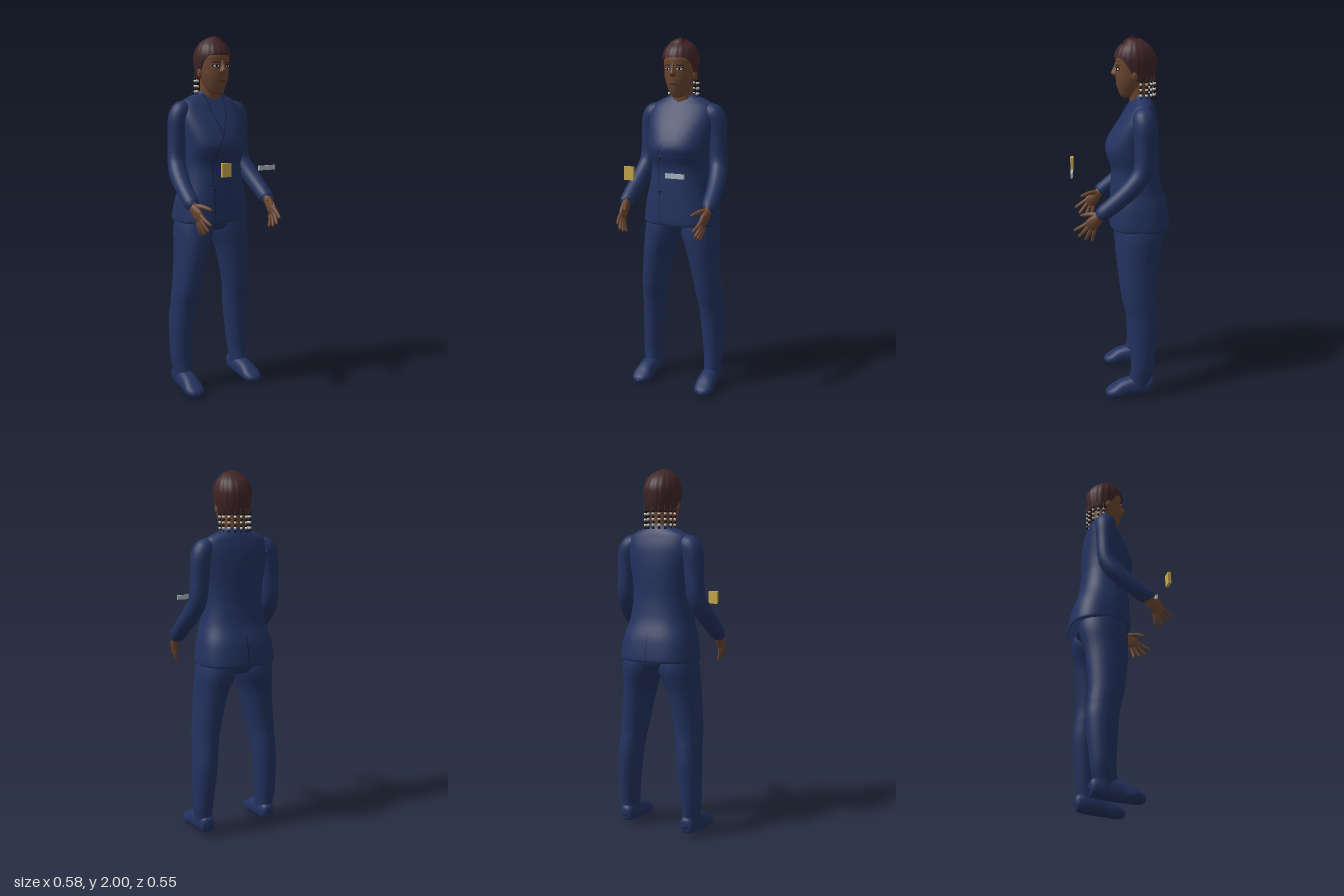
import * as THREE from 'three';
import { ParametricGeometry } from 'three/addons/geometries/ParametricGeometry.js';

const mat = (name, color) => new THREE.MeshStandardMaterial({ name, color });

// Smooth interpolation through rows of numbers, t from 0 to 1
function sample(rows, t) {
  const k = t * (rows.length - 1);
  const i = Math.min(Math.max(Math.floor(k), 0), rows.length - 2), f = k - i;
  const [p, a, b, q] = [rows[Math.max(i - 1, 0)], rows[i], rows[i + 1], rows[Math.min(i + 2, rows.length - 1)]];
  return a.map((_, j) => a[j] + 0.5 * f * (b[j] - p[j] + f * (2 * p[j] - 5 * a[j] + 4 * b[j] - q[j] + f * (3 * (a[j] - b[j]) + q[j] - p[j]))));
}

// Row of an upright loft at height y
function rowAt(rows, y) {
  let lo = 0, hi = 1;
  for (let i = 0; i < 30; i++) {
    const m = (lo + hi) / 2;
    if (sample(rows, m)[1] < y) lo = m; else hi = m;
  }
  return sample(rows, lo);
}

const power = (v, n) => Math.sign(v) * Math.abs(v) ** (2 / n);

// Capped loft; row = [x, y, z, halfWidth, halfDepth, squareness]. Bent lofts turn rings along their path.
function loft(rows, nu = 24, nv = 24, bent = false) {
  const X = new THREE.Vector3(1, 0, 0), T = new THREE.Vector3(), U = new THREE.Vector3(), V = new THREE.Vector3();
  return new ParametricGeometry((u, v, out) => {
    let t = (v * nv - 1) / (nv - 2), s = 1;
    if (v < 1 / nv - 1e-4) { t = 0; s = v * nv + 0.001; }
    if (v > 1 - 1 / nv + 1e-4) { t = 1; s = (1 - v) * nv + 0.001; }
    const r = sample(rows, t), ang = -2 * Math.PI * u;
    T.set(0, 1, 0);
    if (bent) {
      const a = sample(rows, t - 0.01), b = sample(rows, t + 0.01);
      T.set(b[0] - a[0], b[1] - a[1], b[2] - a[2]).normalize();
    }
    U.copy(X).addScaledVector(T, -T.x).normalize();
    V.crossVectors(U, T);
    out.set(r[0], r[1], r[2])
      .addScaledVector(U, s * r[3] * power(Math.cos(ang), r[5]))
      .addScaledVector(V, s * r[4] * power(Math.sin(ang), r[5]));
  }, nu, nv);
}

// Thin patch between two outlines [x, y], laid on the front (or back) of an upright loft
function drape(rows, left, right, off = 0.004, back = 1) {
  return new ParametricGeometry((u, v, out) => {
    const a = sample(left, 1 - v), b = sample(right, 1 - v);
    const x = a[0] + (b[0] - a[0]) * u, y = a[1] + (b[1] - a[1]) * u;
    const r = rowAt(rows, y), k = Math.min(Math.abs((x - r[0]) / r[3]), 0.999);
    out.set(x, y, r[2] + back * (r[4] * (1 - k ** r[5]) ** (1 / r[5]) + off));
  }, 6, 14);
}

// [y, halfWidth, front z, back z, squareness] to a loft row
const upright = ([y, w, f, b, n = 2]) => [0, y, (f + b) / 2, w, (f - b) / 2, n];

const torso = [
  [0.98, 0.21, 0.06, -0.268, 2.7], [1.0, 0.215, 0.065, -0.273, 2.7], [1.1, 0.205, 0.062, -0.257, 2.5],
  [1.2, 0.18, 0.058, -0.224, 2.3], [1.3, 0.165, 0.055, -0.208, 2.3], [1.37, 0.17, 0.078, -0.205, 2.3],
  [1.42, 0.176, 0.084, -0.205, 2.3], [1.5, 0.188, 0.05, -0.203, 2.3], [1.58, 0.195, 0, -0.195, 2.3],
  [1.64, 0.178, -0.04, -0.18, 2.2], [1.67, 0.135, -0.06, -0.17, 2], [1.69, 0.085, -0.065, -0.16, 2], [1.705, 0.065, -0.07, -0.155, 2],
].map(upright);
const head = [
  [1.685, 0.02, -0.008, -0.05], [1.7, 0.04, 0.004, -0.08], [1.74, 0.062, 0.02, -0.12], [1.78, 0.076, 0.027, -0.14],
  [1.82, 0.083, 0.029, -0.16], [1.86, 0.088, 0.028, -0.168], [1.9, 0.088, 0.024, -0.17], [1.95, 0.065, -0.01, -0.14], [1.97, 0.03, -0.04, -0.1],
].map(upright);
const hairRows = [
  [1.74, 0.07, 0, -0.155], [1.8, 0.09, 0.02, -0.178], [1.86, 0.1, 0.034, -0.19], [1.9, 0.1, 0.037, -0.188],
  [1.94, 0.088, 0.02, -0.168], [1.97, 0.064, -0.01, -0.135], [1.99, 0.035, -0.03, -0.1], [2.0, 0.004, -0.058, -0.066],
].map(upright);

export function createModel() {
  const g = new THREE.Group();
  g.name = 'suitedFigure';
  const suit = mat('navy cloth', 0x23325f), seam = mat('dark seam', 0x131c38), skin = mat('brown skin', 0x6b4630),
    hair = mat('dark hair', 0x402527), streak = mat('red streak', 0x3a1014), gold = mat('gold', 0xc9aa4c),
    silver = mat('silver', 0xa9b9c2), white = mat('white', 0xd9d4c8), black = mat('black', 0x141212), lip = mat('lips', 0x4d2b24);
  const add = (name, geo, material, x = 0, y = 0, z = 0) => {
    const m = new THREE.Mesh(geo, material);
    m.name = name;
    m.position.set(x, y, z);
    g.add(m);
    return m;
  };

  // Jacket body, lapels, shirt collar and tie
  add('jacket', loft(torso, 48, 60), suit);
  add('tie', drape(torso, [[-0.01, 1.66], [-0.014, 1.6], [-0.02, 1.5]], [[0.01, 1.66], [0.014, 1.6], [0.012, 1.5]], 0.003), suit);
  for (const s of [1, -1]) {
    const inner = [[0.008 * s, 1.665], [0.018 * s, 1.635], [0.03 * s, 1.6]], outer = [[0.055 * s, 1.675], [0.05 * s, 1.64], [0.031 * s, 1.6]];
    add('shirtCollar', s > 0 ? drape(torso, inner, outer, 0.006) : drape(torso, outer, inner, 0.006), suit);
  }
  const leftEdge = [[0.055, 1.675], [0.04, 1.59], [-0.015, 1.48], [-0.085, 1.35]];
  const rightEdge = [[-0.055, 1.675], [-0.052, 1.59], [-0.035, 1.52], [-0.03, 1.46]];
  add('leftLapel', drape(torso, leftEdge, [[0.1, 1.665], [0.105, 1.6], [0.05, 1.48], [-0.08, 1.35]], 0.006), suit);
  add('rightLapel', drape(torso, [[-0.09, 1.668], [-0.1, 1.6], [-0.08, 1.52], [-0.04, 1.45]], rightEdge, 0.005), suit);
  const line = (name, pts, back = 1, off = 0.007) => add(name, drape(torso, pts, pts.map(([x, y]) => [x + 0.004 * back, y]), off, back), seam);
  line('leftLapelEdge', leftEdge);
  line('rightLapelEdge', rightEdge);
  line('frontOpening', [[-0.085, 1.35], [-0.075, 1.2], [-0.07, 0.99]], 1, 0.001);
  line('backVent', [[0, 1.14], [0, 1.06], [0, 0.985]], -1, 0.001);
  for (const [x, y, z] of [[-0.06, 1.36, 0.067], [-0.07, 1.17, 0.052]])
    add('button', new THREE.SphereGeometry(0.009, 12, 8), seam, x, y, z).scale.z = 0.6;

  // Arms, hands, legs and shoes, mirrored
  add('trouserSeat', loft([[0.93, 0.09, -0.01, -0.2], [0.97, 0.15, 0.02, -0.23], [1.03, 0.18, 0.02, -0.22]].map(upright)), suit);
  for (const s of [1, -1]) {
    const side = s > 0 ? 'left' : 'right';
    const limb = (name, rows, material, bent, nu = 24, nv = 28) =>
      add(side + name, loft(rows.map(([x, y, z, a, b = a, n = 2]) => [x * s, y, z, a, b, n]), nu, nv, bent), material);
    limb('Sleeve', [[0.13, 1.61, -0.11, 0.04], [0.175, 1.595, -0.11, 0.058], [0.199, 1.55, -0.112, 0.058], [0.207, 1.46, -0.112, 0.052],
      [0.217, 1.33, -0.105, 0.05], [0.232, 1.25, -0.055, 0.05], [0.243, 1.18, 0.02, 0.046], [0.248, 1.115, 0.1, 0.042], [0.248, 1.105, 0.112, 0.036]], suit, true);
    limb('Palm', [[0.249, 1.13, 0.08, 0.022, 0.024], [0.248, 1.09, 0.125, 0.022, 0.028], [0.243, 1.055, 0.16, 0.018, 0.036], [0.238, 1.03, 0.185, 0.01, 0.03]], skin, true, 16, 16);
    for (const [y, z, ty, tz] of [[1.058, 0.188, 1.01, 0.258], [1.043, 0.178, 0.975, 0.236], [1.028, 0.165, 0.957, 0.202], [1.018, 0.15, 0.95, 0.167]])
      limb('Finger', [[0.241, y, z, 0.011], [0.236, (y + ty) / 2, (z + tz) / 2, 0.01], [0.226, ty + 0.005, tz - 0.004, 0.008], [0.225, ty, tz, 0.003]], skin, true, 10, 12);
    limb('Thumb', [[0.245, 1.1, 0.125, 0.014], [0.224, 1.1, 0.17, 0.013], [0.203, 1.09, 0.212, 0.009], [0.197, 1.086, 0.225, 0.003]], skin, true, 10, 12);
    limb('TrouserLeg', [[0.196, 0.07, -0.103, 0.044, 0.06], [0.196, 0.11, -0.104, 0.047, 0.063], [0.198, 0.2, -0.115, 0.057, 0.066], [0.188, 0.4, -0.118, 0.068, 0.083],
      [0.18, 0.5, -0.108, 0.07, 0.088], [0.17, 0.6, -0.092, 0.076, 0.096], [0.14, 0.8, -0.088, 0.089, 0.116], [0.113, 0.93, -0.1, 0.109, 0.132], [0.105, 1.03, -0.1, 0.1, 0.12]], suit, false, 28, 40);
    limb('Shoe', [[0.192, 0.075, -0.18, 0.015], [0.192, 0.075, -0.165, 0.037, 0.045, 2.4], [0.194, 0.071, -0.1, 0.046, 0.055, 2.4], [0.197, 0.058, -0.02, 0.049, 0.05, 2.4],
      [0.2, 0.038, 0.04, 0.055, 0.036, 2.4], [0.201, 0.026, 0.08, 0.04, 0.023, 2.2], [0.201, 0.022, 0.094, 0.013, 0.009]], suit, true);
  }

  // Neck, head and face
  add('neck', loft([[1.62, 0.062, -0.05, -0.16], [1.7, 0.058, -0.045, -0.15], [1.78, 0.06, -0.03, -0.15]].map(upright)), skin);
  add('head', loft(head, 36, 40), skin);
  add('nose', loft([[1.793, 0.01, 0.034, 0], [1.803, 0.019, 0.046, 0], [1.814, 0.017, 0.053, 0], [1.84, 0.009, 0.041, 0], [1.87, 0.008, 0.03, 0]].map(upright), 16, 20), skin);
  add('lips', drape(head, [[-0.022, 1.759], [-0.024, 1.757], [-0.018, 1.75]], [[0.022, 1.759], [0.024, 1.757], [0.018, 1.75]], 0.004), lip);
  for (const s of [1, -1]) {
    const patch = (name, x, y, w, h, material, off) =>
      add(name, drape(head, [[s * x - w * 0.6, y + h], [s * x - w, y], [s * x - w * 0.6, y - h]], [[s * x + w * 0.6, y + h], [s * x + w, y], [s * x + w * 0.6, y - h]], off), material);
    patch('eyeOutline', 0.036, 1.838, 0.02, 0.009, black, 0.002);
    patch('eye', 0.036, 1.837, 0.016, 0.0055, white, 0.003);
    patch('pupil', 0.035, 1.837, 0.006, 0.0055, black, 0.004);
    patch('eyebrow', 0.037, 1.855, 0.025, 0.004, hair, 0.003);
    add('ear', new THREE.SphereGeometry(0.026, 14, 10), skin, s * 0.086, 1.805, -0.07).scale.set(0.4, 1.1, 0.7);
  }

  // Braided hair cap with a shaped hairline
  add('hair', new ParametricGeometry((u, v, out) => {
    const a = -2 * Math.PI * u, f = Math.sin(a);
    const base = 1.77 + 0.125 * THREE.MathUtils.smoothstep(f, -0.15, 0.8);
    const r = rowAt(hairRows, base + (2 - base) * Math.max(v - 0.04, 0) / 0.96);
    const s = (0.985 + 0.02 * Math.abs(Math.cos(9 * a))) * (v < 0.0399 ? 0.86 + 3.5 * v : 1);
    out.set(r[3] * s * Math.cos(a), r[1], r[2] + r[4] * s * f);
  }, 90, 25), hair);
  add('hairStreak', new ParametricGeometry((u, v, out) => {
    const x = 0.022 + 0.018 * u, z = -0.005 - 0.08 * v;
    let lo = 1.9, hi = 2;
    for (let i = 0; i < 25; i++) {
      const y = (lo + hi) / 2, r = rowAt(hairRows, y);
      if ((x / r[3]) ** 2 + ((z - r[2]) / r[4]) ** 2 < 1) lo = y; else hi = y;
    }
    out.set(x, lo + 0.003, z);
  }, 4, 12), streak);

  // Hanging braids with beads
  const bead = new THREE.SphereGeometry(0.0075, 10, 8);
  for (let i = 0; i < 9; i++) {
    const a = Math.PI * i / 8, x = 0.085 * Math.cos(a), z = -0.1 - 0.082 * Math.sin(a);
    add('braid', new THREE.CylinderGeometry(0.005, 0.004, 0.12, 8), hair, x, 1.745, z);
    for (let j = 0; j < 7; j++) add('bead', bead, j % 2 ? white : black, x, 1.775 - 0.0145 * j, z);
  }

  // Floating badge and name bar
  add('goldBadge', new THREE.BoxGeometry(0.055, 0.072, 0.018), gold, -0.14, 1.297, 0.271);
  add('silverBar', new THREE.BoxGeometry(0.106, 0.025, 0.012), silver, 0.124, 1.297, 0.268);
  return g;
}
